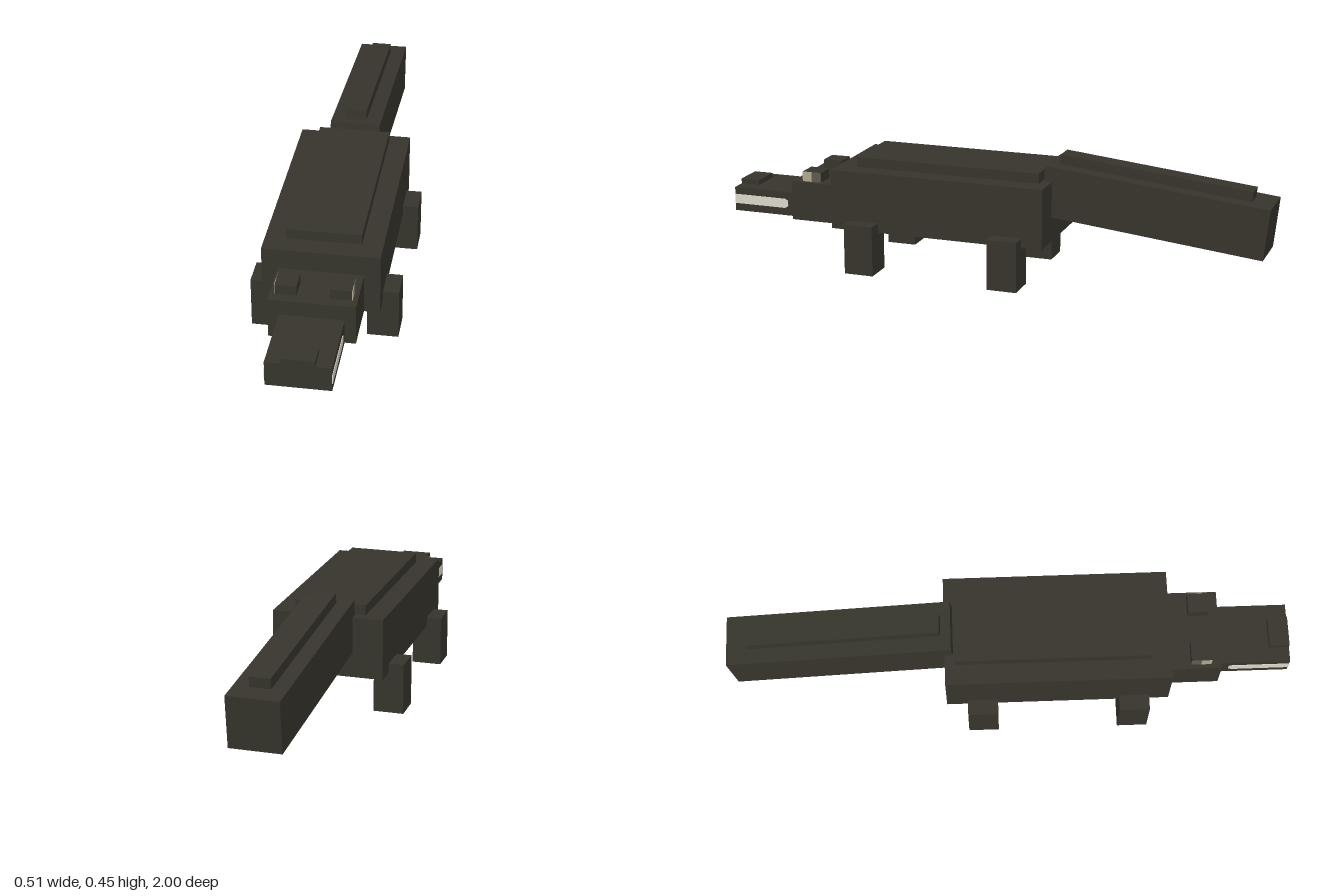
import * as THREE from 'three';

const flat = (name, color) => {
  const m = new THREE.MeshStandardMaterial({ color });
  m.name = name;
  return m;
};

export function createModel() {
  const hide = flat('dark hide', 0x36342b);
  const belly = flat('pale belly', 0x82796a);
  const tooth = flat('ivory teeth', 0xdad7ca);
  const eyeLight = flat('eye', 0xaea791);
  const pupil = flat('pupil', 0x5e5a4e);

  const model = new THREE.Group();
  model.name = 'crocodile';

  // Box given by its minimum and maximum on each axis
  function box(name, [x0, x1], [y0, y1], [z0, z1], material = hide, parent = model) {
    const mesh = new THREE.Mesh(new THREE.BoxGeometry(x1 - x0, y1 - y0, z1 - z0), material);
    mesh.position.set((x0 + x1) / 2, (y0 + y1) / 2, (z0 + z1) / 2);
    mesh.name = name;
    parent.add(mesh);
    return mesh;
  }
  const wide = (w) => [-w, w];
  // Face order: +x, -x, +y, -y, +z, -z
  const paleBottom = [hide, hide, hide, belly, hide, hide];

  // Trunk and back plate
  box('body', wide(0.199), [0.147, 0.364], [-0.231, 0.564], paleBottom);
  box('backPlate', wide(0.127), [0.364, 0.4], [-0.195, 0.492]);

  // Head, snout and nose
  box('head', wide(0.145), [0.147, 0.291], [0.564, 0.746]);
  box('snout', wide(0.108), [0.147, 0.236], [0.746, 1], paleBottom);
  box('nose', wide(0.055), [0.236, 0.255], [0.928, 1]);

  // Tooth strip with a rounded inner end
  const strip = new THREE.Shape();
  strip.moveTo(1, 0.175);
  strip.lineTo(0.795, 0.175);
  strip.lineTo(0.783, 0.183);
  strip.lineTo(0.783, 0.203);
  strip.lineTo(0.795, 0.21);
  strip.lineTo(1, 0.21);
  const stripGeometry = new THREE.ExtrudeGeometry(strip, { depth: 0.002, bevelEnabled: false });
  stripGeometry.rotateY(-Math.PI / 2);

  for (const s of [1, -1]) {
    const side = s > 0 ? 'left' : 'right';
    const span = (a, b) => (s > 0 ? [a, b] : [-b, -a]);

    // Legs
    box(`${side}FrontLeg`, span(0.146, 0.254), [0, 0.182], [0.385, 0.493]);
    box(`${side}BackLeg`, span(0.146, 0.254), [0, 0.182], [-0.156, -0.048]);

    // Eye bump with painted eye on the outer face
    box(`${side}EyeBump`, span(0.055, 0.127), [0.291, 0.327], [0.638, 0.71]);
    box(`${side}Eye`, span(0.127, 0.129), [0.291, 0.327], [0.674, 0.71], eyeLight);
    box(`${side}Pupil`, span(0.127, 0.129), [0.291, 0.327], [0.638, 0.674], pupil);

    // Teeth
    const teeth = new THREE.Mesh(stripGeometry, tooth);
    teeth.name = `${side}Teeth`;
    teeth.position.x = s > 0 ? 0.11 : -0.108;
    model.add(teeth);
  }

  // Tail, sloping down toward the back
  const tail = new THREE.Group();
  tail.name = 'tail';
  tail.position.set(0, 0.42, -0.207);
  tail.rotation.x = -0.106;
  box('tailBase', wide(0.09), [-0.181, 0], [-0.797, 0], paleBottom, tail);
  box('tailRidge', wide(0.036), [0, 0.036], [-0.722, -0.036], hide, tail);
  model.add(tail);

  return model;
}
